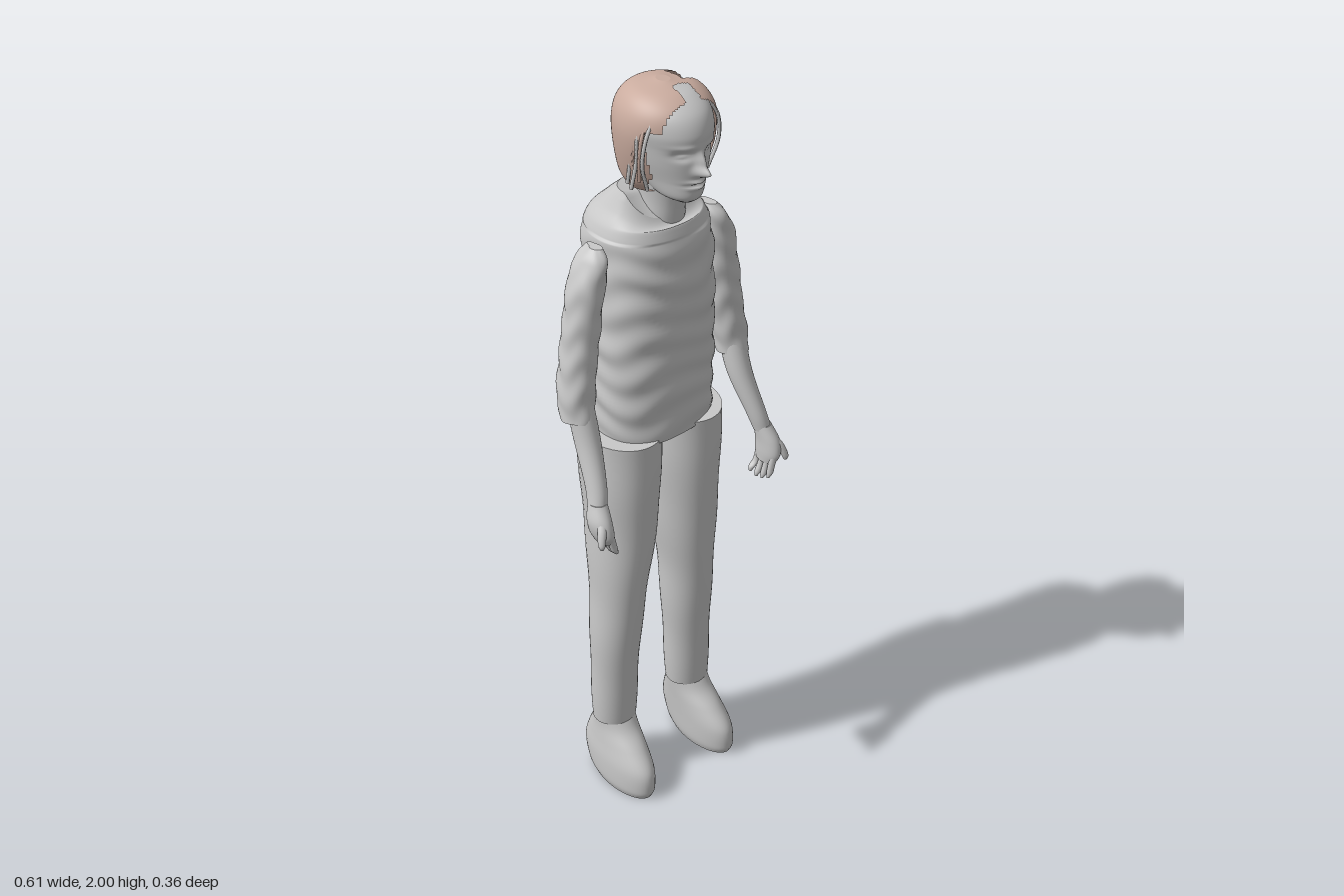
import * as THREE from 'three';

const grey = new THREE.MeshStandardMaterial({ color: 0xc8c8c8, side: THREE.DoubleSide });
grey.name = 'plain grey';
const brown = new THREE.MeshStandardMaterial({ color: 0xcaac9f, side: THREE.DoubleSide });
brown.name = 'hair brown';

// Smooth skin through oval sections [y, centreX, radiusX, zFront, zBack], listed bottom to top.
function loft(rows, { seg = 28, steps = 28, power = 2, warp, keep, caps = true } = {}) {
  const spline = new THREE.CubicInterpolant(rows.map((r, i) => i), rows.flat(), 5, new Float32Array(5));
  const pts = [], index = [];
  const bend = (c) => Math.sign(c) * Math.pow(Math.abs(c), 2 / power);
  for (let j = 0; j <= steps; j++) {
    const [y, cx, rx, zf, zb] = spline.evaluate((j / steps) * (rows.length - 1));
    for (let i = 0; i < seg; i++) {
      const a = (i / seg) * Math.PI * 2;
      const v = new THREE.Vector3(cx + rx * bend(Math.sin(a)), y, (zf + zb) / 2 + ((zf - zb) / 2) * bend(Math.cos(a)));
      if (warp) warp(v, a);
      pts.push(v);
    }
  }
  for (let j = 0; j < steps; j++) for (let i = 0; i < seg; i++) {
    const a = j * seg + i, b = j * seg + (i + 1) % seg, c = b + seg, d = a + seg;
    const mid = pts[a].clone().add(pts[c]).multiplyScalar(0.5);
    if (!keep || keep(mid)) index.push(a, b, c, a, c, d);
  }
  const cap = (row, up) => {
    const ring = pts.slice(row * seg, row * seg + seg).map((p) => p.clone());
    const centre = ring.reduce((s, p) => s.add(p), new THREE.Vector3()).divideScalar(seg);
    if (keep && !keep(centre)) return;
    const base = pts.length;
    pts.push(...ring, centre);
    for (let i = 0; i < seg; i++) {
      const n = base + (i + 1) % seg;
      index.push(base + seg, up ? base + i : n, up ? n : base + i);
    }
  };
  if (caps) { cap(0, false); cap(steps, true); }
  const g = new THREE.BufferGeometry().setFromPoints(pts);
  g.setIndex(index);
  g.computeVertexNormals();
  return g;
}

const bump = (dx, dy, wx, wy) => Math.exp(-((dx / wx) ** 2) - (dy / wy) ** 2);

// Soft cloth folds
const folds = (amount, cx) => (v, a) => {
  const w = amount * (Math.sin(v.y * 75 + 1.6 * Math.sin(a * 3 + v.y * 9)) + 0.5 * Math.sin(v.y * 43 + a * 4));
  v.x += w * Math.sin(a);
  v.z += w * Math.cos(a);
};

export function createModel() {
  const model = new THREE.Group();
  const add = (name, geometry, material = grey, parent = model) => {
    const m = new THREE.Mesh(geometry, material);
    m.name = name;
    parent.add(m);
    return m;
  };

  // Shirt with a collar that dips at the front
  const shirtFolds = folds(0.0028);
  add('shirt', loft([
    [1.08, 0.013, 0.158, 0.095, -0.132], [1.2, 0.013, 0.162, 0.1, -0.142],
    [1.35, 0.014, 0.161, 0.103, -0.152], [1.5, 0.015, 0.158, 0.103, -0.165],
    [1.6, 0.015, 0.155, 0.096, -0.178], [1.65, 0.013, 0.14, 0.085, -0.168],
    [1.69, 0.01, 0.11, 0.068, -0.13], [1.735, 0.007, 0.083, 0.05, -0.078],
  ], { seg: 64, steps: 100, power: 2.3, warp: (v, a) => {
    if (v.y < 1.63) shirtFolds(v, a);
    if (v.y > 1.66) v.y -= Math.max(0, v.z + 0.01) * (v.y - 1.66) * 14;
  } }));

  // Neck
  add('neck', loft([
    [1.6, 0.02, 0.06, 0.06, -0.07], [1.67, 0.02, 0.055, 0.068, -0.062],
    [1.72, 0.02, 0.053, 0.075, -0.062], [1.79, 0.02, 0.06, 0.09, -0.07],
  ]));

  // Head, with the face shaped by bumps and hollows
  const fx = 0.018;
  add('head', loft([
    [1.733, 0.018, 0.024, 0.118, 0.06], [1.75, 0.018, 0.05, 0.136, -0.01],
    [1.79, 0.02, 0.068, 0.14, -0.075], [1.83, 0.02, 0.08, 0.144, -0.092],
    [1.87, 0.02, 0.088, 0.147, -0.098], [1.91, 0.02, 0.095, 0.149, -0.1],
    [1.95, 0.02, 0.09, 0.13, -0.088], [1.978, 0.02, 0.066, 0.088, -0.06],
    [1.992, 0.02, 0.02, 0.035, -0.012],
  ], { seg: 96, steps: 90, warp: (v) => {
    if (v.z < 0.06) return;
    const dx = v.x - fx, side = Math.abs(dx);
    v.z += 0.034 * bump(dx, v.y - 1.822, 0.013, 0.013) + 0.018 * bump(dx, v.y - 1.847, 0.01, 0.022);
    v.z -= 0.013 * bump(side - 0.037, v.y - 1.862, 0.019, 0.011);
    v.z += 0.006 * bump(side - 0.037, v.y - 1.86, 0.011, 0.004) + 0.004 * bump(side - 0.036, v.y - 1.883, 0.025, 0.006);
    v.z += 0.009 * bump(dx, v.y - 1.793, 0.022, 0.005) + 0.008 * bump(dx, v.y - 1.778, 0.019, 0.005);
    v.z -= 0.006 * bump(dx, v.y - 1.785, 0.026, 0.003);
  } }));

  // Ears
  for (const s of [-1, 1]) {
    const ear = add(s < 0 ? 'rightEar' : 'leftEar', new THREE.SphereGeometry(1, 14, 10));
    ear.scale.set(0.012, 0.032, 0.02);
    ear.position.set(0.02 + s * 0.09, 1.84, 0.015);
  }

  // Hair shell with bare patches on the crown and left side
  add('hair', loft([
    [1.745, 0.02, 0.075, 0.06, -0.078], [1.78, 0.02, 0.094, 0.1, -0.1],
    [1.85, 0.022, 0.113, 0.13, -0.11], [1.91, 0.022, 0.117, 0.14, -0.112],
    [1.955, 0.022, 0.104, 0.128, -0.1], [1.985, 0.022, 0.073, 0.088, -0.066],
    [2.0, 0.02, 0.015, 0.03, -0.008],
  ], { seg: 90, steps: 70, keep: (p) => {
    const front = p.y > 1.92 ? 0.105 : 0.07 - Math.max(0, 1.8 - p.y) * 0.8;
    const sidePatch = p.x > 0.06 && p.y > 1.84 && p.z > -0.035 && p.z < 0.03;
    const frontPatch = p.x > 0.012 && p.x < 0.055 && p.z > 0.048 + 0.3 * Math.abs(p.x - 0.03);
    return p.z < front && !sidePatch && !frontPatch;
  } }), brown);

  // Loose strands beside the face
  for (const s of [-1, 1]) for (let i = 0; i < 5; i++) {
    const z = 0.075 - i * 0.014;
    const x = (d) => 0.02 + s * d;
    const curve = new THREE.CatmullRomCurve3([
      new THREE.Vector3(x(0.08), 1.95, z), new THREE.Vector3(x(0.107), 1.9, z + 0.004),
      new THREE.Vector3(x(0.113 - i * 0.003), 1.84, z), new THREE.Vector3(x(0.09 + (i % 3) * 0.012), 1.77 + (i % 2) * 0.02, z - 0.01),
    ]);
    add('hairStrand', new THREE.TubeGeometry(curve, 14, 0.005, 5), i % 2 ? brown : grey);
  }

  for (const s of [-1, 1]) {
    const side = s < 0 ? 'right' : 'left';
    const arm = new THREE.Group(), leg = new THREE.Group();
    arm.name = side + 'Arm';
    leg.name = side + 'Leg';
    model.add(arm, leg);
    // Mirror section centres, shifted by an optional sixth value
    const flip = (rows) => rows.map(([y, c, rx, zf, zb, mid = 0]) => [y, s * c + mid, rx, zf, zb]);

    // Sleeve
    add(side + 'Sleeve', loft(flip([
      [1.205, 0.245, 0.042, 0.06, -0.026], [1.26, 0.241, 0.045, 0.053, -0.044],
      [1.35, 0.228, 0.045, 0.048, -0.05], [1.45, 0.214, 0.044, 0.047, -0.05],
      [1.55, 0.198, 0.041, 0.049, -0.052], [1.605, 0.182, 0.03, 0.044, -0.044],
      [1.635, 0.173, 0.012, 0.025, -0.025],
    ]), { seg: 36, steps: 60, warp: folds(0.0018) }), grey, arm);

    // Forearm
    add(side + 'Forearm', loft(flip([
      [1.0, 0.267, 0.023, 0.14, 0.088], [1.05, 0.257, 0.025, 0.126, 0.066],
      [1.15, 0.243, 0.031, 0.084, 0.012], [1.25, 0.241, 0.033, 0.05, -0.02],
    ])), grey, arm);

    // Palm
    add(side + 'Palm', loft(flip([
      [0.915, 0.266, 0.018, 0.165, 0.1], [0.94, 0.271, 0.024, 0.174, 0.092],
      [0.975, 0.273, 0.026, 0.165, 0.09], [1.015, 0.266, 0.022, 0.138, 0.088],
    ])), grey, arm);

    // Fingers and thumb
    for (let i = 0; i < 4; i++) {
      const z = 0.107 + i * 0.018, tip = 0.866 + Math.abs(i - 1.4) * 0.008;
      add('finger', loft(flip([
        [tip, 0.236 + i * 0.004, 0.004, z + 0.005, z - 0.003], [tip + 0.012, 0.242 + i * 0.004, 0.009, z + 0.009, z - 0.008],
        [0.905, 0.258, 0.01, z + 0.009, z - 0.009], [0.94, 0.267, 0.011, z + 0.009, z - 0.009],
      ]), { seg: 12, steps: 12 }), grey, arm);
    }
    add('thumb', loft(flip([
      [0.918, 0.299, 0.004, 0.174, 0.164], [0.932, 0.298, 0.009, 0.178, 0.158],
      [0.96, 0.289, 0.011, 0.17, 0.146], [0.985, 0.276, 0.012, 0.155, 0.13],
    ]), { seg: 12, steps: 12 }), grey, arm);

    // Trouser leg
    add(side + 'Trouser', loft(flip([
      [0.195, 0.127, 0.06, 0.06, -0.052, -0.01], [0.4, 0.123, 0.065, 0.071, -0.06, -0.012],
      [0.6, 0.115, 0.071, 0.085, -0.075, -0.008], [0.8, 0.102, 0.086, 0.096, -0.108, 0],
      [0.95, 0.099, 0.094, 0.1, -0.132, 0.004], [1.09, 0.098, 0.097, 0.1, -0.14, 0.007],
    ]), { seg: 40, steps: 50, warp: (v, a) => { v.x += 0.0015 * Math.sin(v.y * 26 + a); } }), grey, leg);

    // Rounded shoe with a flat sole
    add(side + 'Shoe', loft(flip([
      [0, 0.14, 0.05, 0.165, -0.055, -0.01], [0.025, 0.14, 0.056, 0.174, -0.076, -0.01],
      [0.08, 0.138, 0.057, 0.168, -0.092, -0.01], [0.13, 0.133, 0.055, 0.125, -0.08, -0.01],
      [0.17, 0.129, 0.054, 0.08, -0.062, -0.01], [0.205, 0.127, 0.055, 0.053, -0.046, -0.01],
    ]), { seg: 40, steps: 30 }), grey, leg);
  }
  return model;
}
